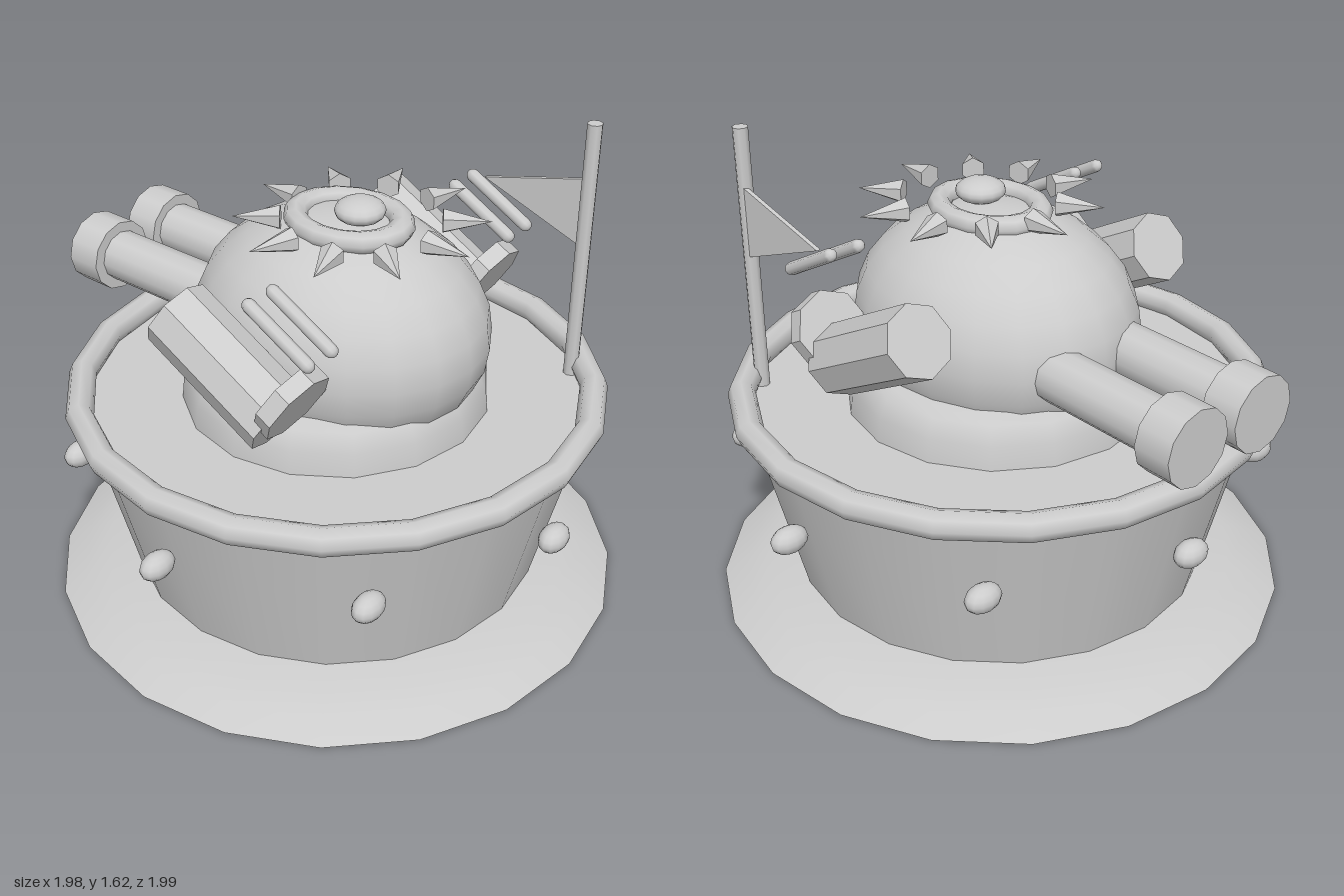
import * as THREE from 'three';

const stone = new THREE.MeshStandardMaterial({ color: 0xcccccc });
stone.name = 'plain grey';

function add(parent, name, geometry, x = 0, y = 0, z = 0) {
  const mesh = new THREE.Mesh(geometry, stone);
  mesh.name = name;
  mesh.position.set(x, y, z);
  parent.add(mesh);
  return mesh;
}

// One normal per face, for the low-sided parts
function faceted(geometry) {
  const flat = geometry.toNonIndexed();
  flat.computeVertexNormals();
  return flat;
}

const lathe = (points, sides = 20) =>
  new THREE.LatheGeometry(points.map(([r, y]) => new THREE.Vector2(r, y)), sides);

function pod(side) {
  const group = new THREE.Group();
  group.name = side > 0 ? 'leftPod' : 'rightPod';
  group.position.set(side * 0.52, 1.025, -0.013);
  group.rotation.x = -1.07;
  add(group, 'podBody', faceted(new THREE.CylinderGeometry(0.12, 0.12, 0.48, 8)));
  add(group, 'podCap', faceted(new THREE.CylinderGeometry(0.13, 0.13, 0.06, 8)), 0, -0.238, 0.102);
  for (const x of [-0.053, 0.053]) {
    add(group, 'podBar', new THREE.CapsuleGeometry(0.022, 0.25, 3, 8), x, -0.116, 0.326);
  }
  return group;
}

export function createModel() {
  const model = new THREE.Group();
  model.name = 'turretTub';

  // Flared foot and tub
  add(model, 'foot', lathe([[0.99, 0], [0.91, 0.04], [0.82, 0.072], [0.7, 0.09]]));
  add(model, 'footUnderside', lathe([[0, 0], [0.99, 0]]));
  add(model, 'tubWall', lathe([[0.715, 0.085], [0.86, 0.7]]));
  add(model, 'tubFloor', lathe([[0.85, 0.69], [0, 0.69]]));
  const rim = add(model, 'rim', new THREE.TorusGeometry(0.872, 0.047, 8, 20), 0, 0.722, 0);
  rim.rotation.x = Math.PI / 2;

  // Studs around the tub
  for (let i = 0; i < 8; i++) {
    const a = (i * Math.PI) / 4;
    const stud = add(model, 'stud', new THREE.SphereGeometry(0.045, 12, 8),
      0.885 * Math.sin(a), 0.48, 0.885 * Math.cos(a));
    stud.scale.x = 1.45;
  }

  // Dome on its collar
  add(model, 'collar', lathe([[0.525, 0.68], [0.515, 0.77], [0.485, 0.83], [0.45, 0.855], [0.35, 0.86]], 16));
  const dome = add(model, 'dome', new THREE.SphereGeometry(1, 20, 14), 0, 0.97, 0.022);
  dome.scale.set(0.445, 0.39, 0.52);

  // Crown ring, button and spikes
  const crown = add(model, 'crownRing', new THREE.TorusGeometry(0.15, 0.036, 8, 16), 0, 1.345, 0.05);
  crown.rotation.x = Math.PI / 2;
  crown.scale.y = 1.22;
  const button = add(model, 'button', new THREE.SphereGeometry(0.083, 14, 10), 0, 1.39, 0.095);
  button.scale.y = 0.5;
  const spikeShape = faceted(new THREE.ConeGeometry(0.042, 0.155, 6).rotateX(Math.PI / 2));
  for (let i = 0; i < 10; i++) {
    const a = (i * Math.PI) / 5;
    const spike = add(model, 'spike', spikeShape,
      0.333 * Math.sin(a), 1.36, 0.1 + 0.333 * Math.cos(a));
    spike.rotation.y = a;
  }

  // Twin guns and side pods
  for (const side of [1, -1]) {
    const barrel = add(model, 'barrel', new THREE.CylinderGeometry(0.09, 0.09, 0.6, 12), side * 0.14, 0.97, -0.6);
    const muzzle = add(model, 'muzzle', new THREE.CylinderGeometry(0.127, 0.127, 0.13, 12), side * 0.142, 0.97, -0.935);
    barrel.rotation.x = muzzle.rotation.x = Math.PI / 2;
    model.add(pod(side));
  }

  // Pennant on its pole
  add(model, 'flagPole', new THREE.CylinderGeometry(0.026, 0.026, 0.935, 8), 0.585, 1.1475, 0.573);
  const pennantShape = new THREE.Shape([[0, 1.42], [0, 1.17], [0.39, 1.32]].map(([x, y]) => new THREE.Vector2(x, y)));
  const pennant = add(model, 'pennant',
    new THREE.ExtrudeGeometry(pennantShape, { depth: 0.015, bevelEnabled: false }), 0.588, 0, 0.57);
  pennant.rotation.y = Math.PI / 2 + 0.03;

  return model;
}
